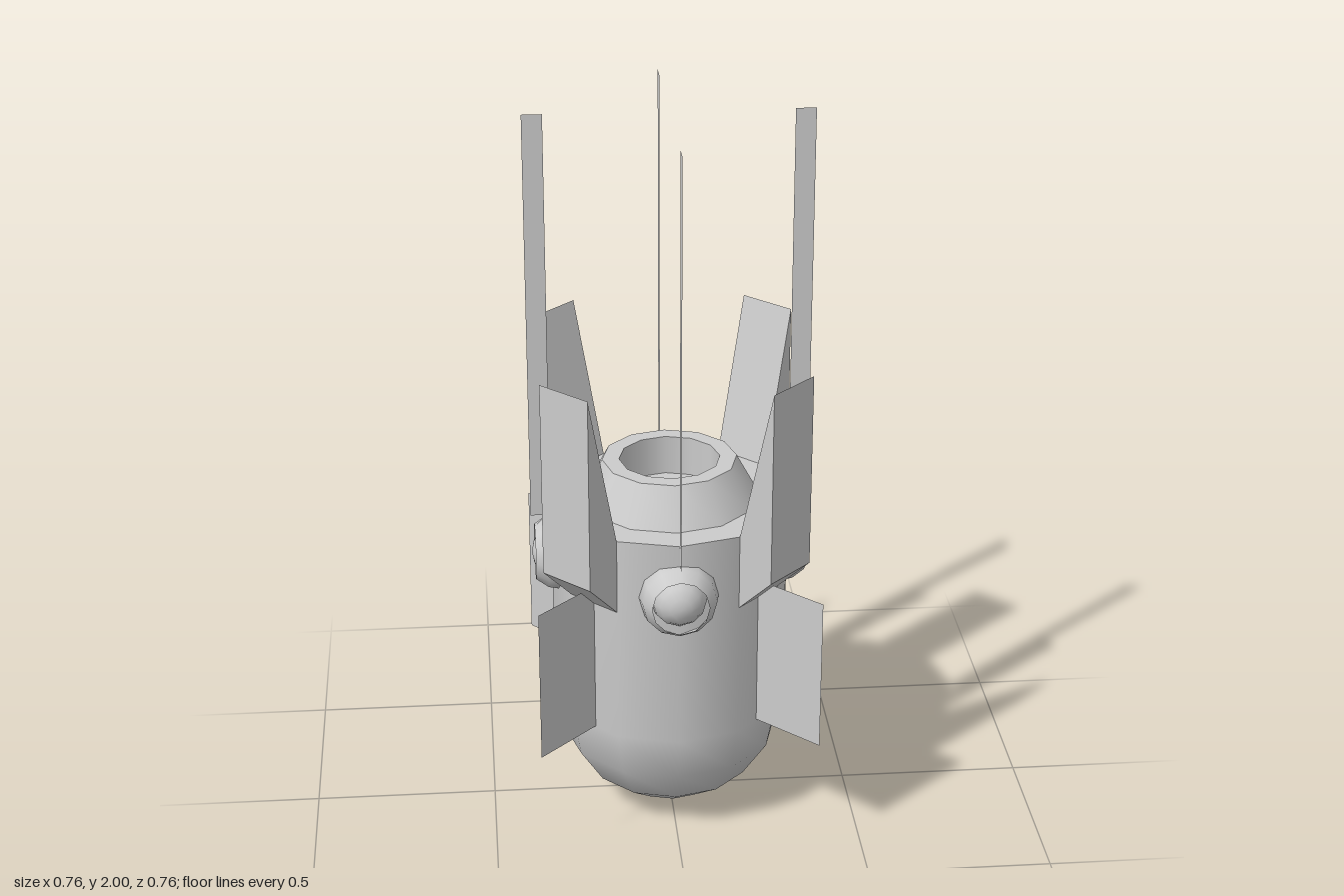
import * as THREE from 'three';

const SIDES = 12;
const material = new THREE.MeshStandardMaterial({ color: 0xcccccc, side: THREE.DoubleSide });
const flatMaterial = new THREE.MeshStandardMaterial({ color: 0xcccccc, side: THREE.DoubleSide, flatShading: true });

function part(name, geometry, mat = material) {
  const mesh = new THREE.Mesh(geometry, mat);
  mesh.name = name;
  return mesh;
}

// Smooth surface of revolution; separate calls keep hard edges between sections
function turned(name, points) {
  return part(name, new THREE.LatheGeometry(points.map(([r, y]) => new THREE.Vector2(r, y)), SIDES));
}

// Upright thin sheet lying in the radial (x, y) plane
function sheet(name, r0, r1, y0, y1) {
  const geometry = new THREE.PlaneGeometry(r1 - r0, y1 - y0);
  geometry.translate((r0 + r1) / 2, (y0 + y1) / 2, 0);
  return part(name, geometry, flatMaterial);
}

// Wedge block with a sloping inner top and a chamfered underside
function wedgeFin() {
  const shape = new THREE.Shape([[0.313, 0.71], [0.419, 0.815], [0.419, 1.355], [0.313, 0.92]]
    .map(([r, y]) => new THREE.Vector2(r, y)));
  const geometry = new THREE.ExtrudeGeometry(shape, { depth: 0.166, bevelEnabled: false });
  geometry.translate(0, 0, -0.083);
  return part('wedgeFin', geometry, flatMaterial);
}

// Round lamp: open tapered collar around a domed lens, pointing along +x
function sideLamp() {
  const lamp = new THREE.Group();
  lamp.name = 'sideLamp';
  const collar = turned('lampCollar', [[0.1, 0.26], [0.106, 0.295], [0.099, 0.335], [0.076, 0.369]]);
  const lens = part('lampLens', new THREE.SphereGeometry(0.076, SIDES, 8));
  lens.position.y = 0.302;
  lamp.add(collar, lens);
  lamp.rotation.z = -Math.PI / 2;
  lamp.position.y = 0.76;
  return lamp;
}

export function createModel() {
  const model = new THREE.Group();
  model.name = 'capsule';

  // Rounded hull
  const R = 0.323, hull = [];
  for (let i = 0; i <= 4; i++) {
    const a = (i / 4) * Math.PI / 2;
    hull.push([R * Math.sin(a), 0.328 * (1 - Math.cos(a))]);
  }
  hull.push([R, 0.92]);
  model.add(turned('hull', hull));

  // Shoulder, conical neck and recessed opening
  model.add(
    turned('shoulder', [[R, 0.92], [0.243, 0.92]]),
    turned('neck', [[0.243, 0.92], [0.183, 1.03]]),
    turned('neckRim', [[0.183, 1.03], [0.137, 1.03]]),
    turned('openingWall', [[0.137, 1.03], [0.137, 0.92]]),
    turned('openingFloor', [[0.137, 0.92], [0, 0.92]]),
  );

  // Lamps and antennas on the axes, fins on the diagonals
  for (let i = 0; i < 4; i++) {
    const axial = new THREE.Group();
    axial.name = 'lampAndAntenna';
    axial.rotation.y = i * Math.PI / 2;
    axial.add(sideLamp(), sheet('antenna', 0.325, 0.379, 0.87, 2));

    const diagonal = new THREE.Group();
    diagonal.name = 'finPair';
    diagonal.rotation.y = (i + 0.5) * Math.PI / 2;
    diagonal.add(wedgeFin(), sheet('lowerFin', 0.3, 0.53, 0.33, 0.76));
    model.add(axial, diagonal);
  }
  return model;
}
